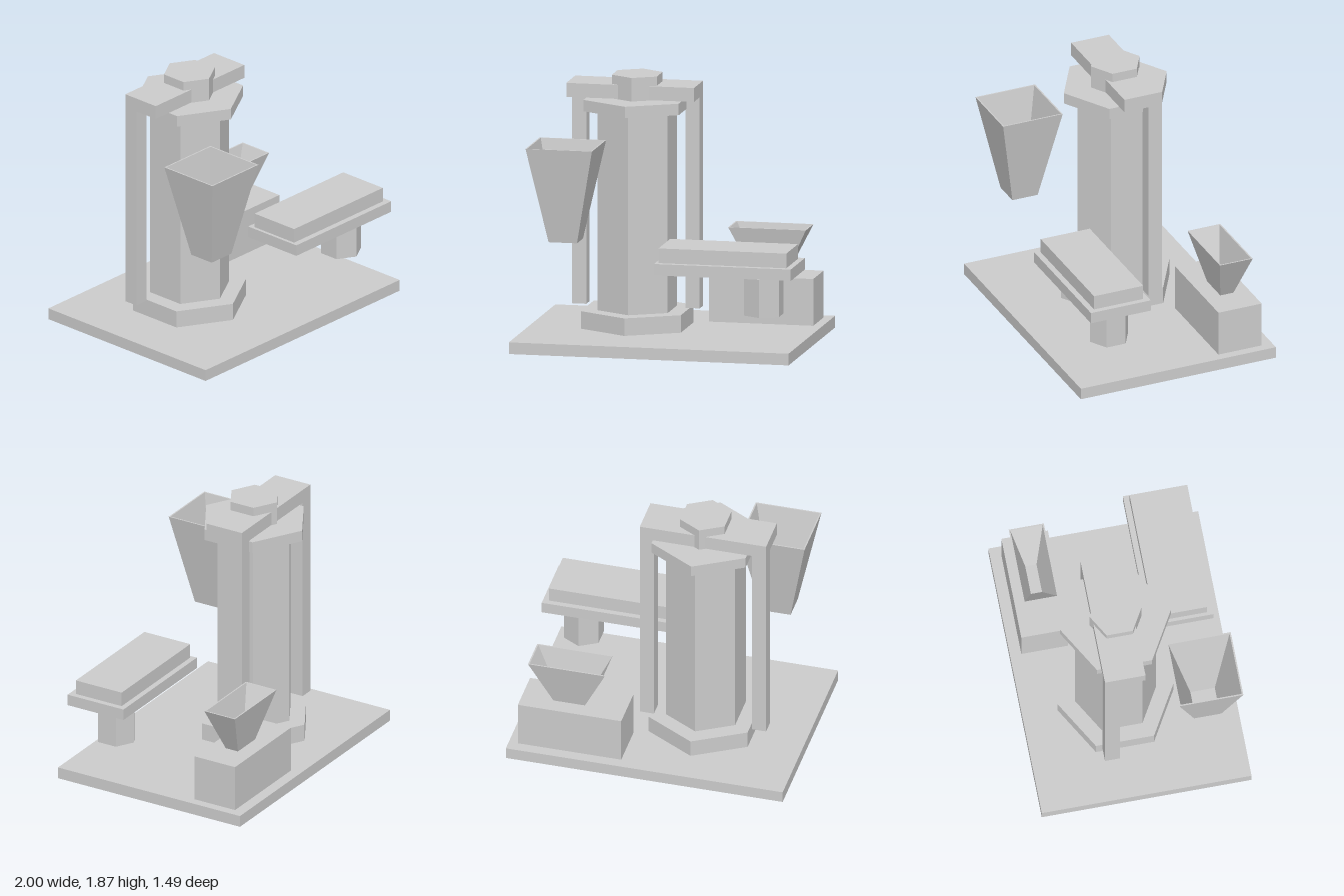
import * as THREE from 'three';

const material = new THREE.MeshStandardMaterial({ color: 0xcccccc, flatShading: true });

export function createModel() {
  const model = new THREE.Group();

  function add(name, geometry) {
    const mesh = new THREE.Mesh(geometry, material);
    mesh.name = name;
    model.add(mesh);
    return mesh;
  }

  // Box given by its limits on each axis
  function box(name, x0, x1, y0, y1, z0, z1) {
    add(name, new THREE.BoxGeometry(x1 - x0, y1 - y0, z1 - z0))
      .position.set((x0 + x1) / 2, (y0 + y1) / 2, (z0 + z1) / 2);
  }

  // Upright hexagonal prism with corners pointing along z
  function hex(name, x, z, radius, y0, y1) {
    add(name, new THREE.CylinderGeometry(radius, radius, y1 - y0, 6))
      .position.set(x, (y0 + y1) / 2, z);
  }

  // Thin-walled rectangular hopper, open at the top; sizes are [width, depth]
  function hopper(name, x, z, y0, y1, bottom, top, wall = 0.01) {
    const rings = [
      [0, 0, y0],
      [...bottom, y0],
      [...top, y1],
      [top[0] - 2 * wall, top[1] - 2 * wall, y1],
      [bottom[0] - 2 * wall, bottom[1] - 2 * wall, y0 + wall],
      [0, 0, y0 + wall],
    ];
    const corners = [[-1, 1], [1, 1], [1, -1], [-1, -1]];
    const positions = [];
    for (const [w, d, y] of rings) {
      for (const [sx, sz] of corners) positions.push(sx * w / 2, y, sz * d / 2);
    }
    const index = [];
    for (let r = 0; r < rings.length - 1; r++) {
      for (let i = 0; i < 4; i++) {
        const a = r * 4 + i, b = r * 4 + (i + 1) % 4;
        if (r > 0) index.push(a, b, b + 4);
        if (r < rings.length - 2) index.push(a, b + 4, a + 4);
        if (r === 0) index.push(a, b, b + 4);
      }
    }
    let geometry = new THREE.BufferGeometry();
    geometry.setAttribute('position', new THREE.Float32BufferAttribute(positions, 3));
    geometry.setIndex(index);
    geometry = geometry.toNonIndexed();
    geometry.computeVertexNormals();
    add(name, geometry).position.set(x, 0, z);
  }

  // Ground plate
  box('basePlate', -1, 1, 0, 0.083, -0.745, 0.745);

  // Hexagonal tower: foot, shaft, collar and hub
  const tx = -0.267, tz = -0.083;
  hex('towerFoot', tx, tz, 0.413, 0.083, 0.207);
  hex('towerShaft', tx, tz, 0.289, 0.207, 1.624);
  hex('towerCollar', tx, tz, 0.393, 1.624, 1.705);
  hex('towerHub', tx, tz, 0.186, 1.705, 1.872);

  // Cross beam with a hanging leg at each end
  box('crossBeam', -0.747, 0.166, 1.708, 1.807, -0.248, 0.04);
  box('rightLeg', -0.747, -0.645, 0.21, 1.708, -0.248, -0.143);
  box('leftLeg', 0.064, 0.166, 0.21, 1.708, -0.248, -0.143);

  // Tall hopper beside the tower
  hopper('tallHopper', -0.652, 0.48, 0.773, 1.453, [0.203, 0.193], [0.475, 0.455]);

  // Rear block carrying the small hopper
  box('rearBlock', 0.188, 0.935, 0.083, 0.415, -0.665, -0.335);
  hopper('smallHopper', 0.595, -0.5, 0.415, 0.75, [0.228, 0.1], [0.555, 0.25]);

  // Stepped table above its hexagonal post
  hex('tablePost', 0.75, 0.42, 0.145, 0.293, 0.563);
  box('tableSlab', 0.02, 0.998, 0.585, 0.666, 0.21, 0.667);
  box('tableTop', 0.043, 0.957, 0.666, 0.77, 0.25, 0.625);

  return model;
}
